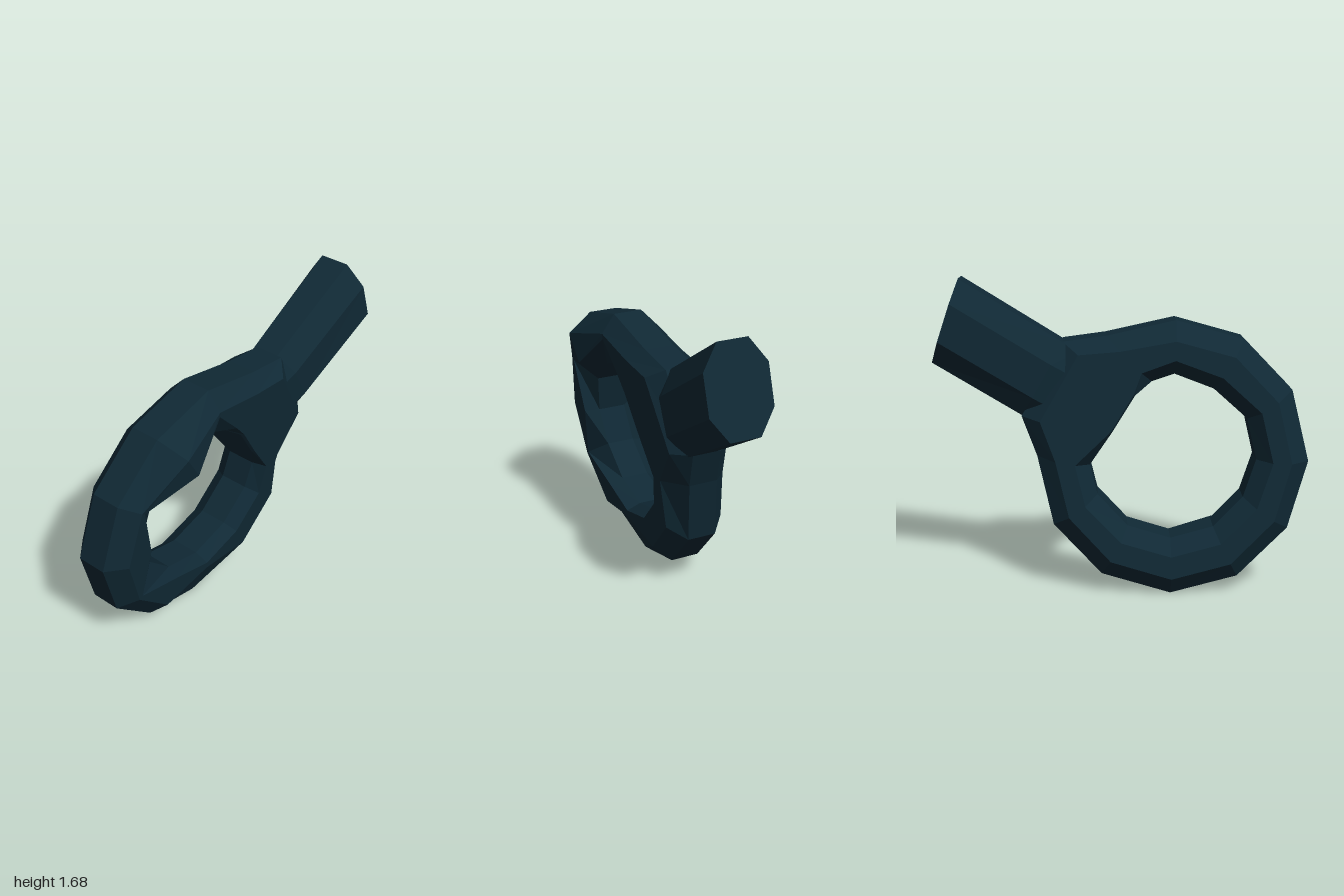
import * as THREE from 'three';

// The ring leans slightly forward with height
const lean = (y) => -0.107 + 0.113 * y;

// Faceted skin over a list of closed cross-sections
function skin(rings, { loop = false, cap = false }) {
  const pos = [];
  const tri = (...pts) => pts.forEach((p) => pos.push(...p));
  const n = rings[0].length;
  const spans = loop ? rings.length : rings.length - 1;
  for (let i = 0; i < spans; i++) {
    const r = rings[i], s = rings[(i + 1) % rings.length];
    for (let j = 0; j < n; j++) {
      const k = (j + 1) % n;
      tri(r[j], s[j], s[k]);
      tri(r[j], s[k], r[k]);
    }
  }
  if (cap) {
    const e = rings[rings.length - 1];
    for (let j = 1; j < n - 1; j++) tri(e[0], e[j + 1], e[j]);
  }
  const g = new THREE.BufferGeometry();
  g.setAttribute('position', new THREE.Float32BufferAttribute(pos, 3));
  g.computeVertexNormals();
  return g;
}

// Section through the ring: outer edge, bevels, faces and inner edge
function ringSection({ o, i, co = 0.1, ci = 0.03, zf = 0.165, cb = 0.08, w = 0.08 }) {
  const len = Math.hypot(i[0] - o[0], i[1] - o[1]);
  const at = (d, z) => {
    const t = d / len;
    const x = o[0] + (i[0] - o[0]) * t, y = o[1] + (i[1] - o[1]) * t;
    return [x, y, lean(y) + z];
  };
  return [
    at(0, 0.08), at(co, zf), at(len - ci, zf), at(len, w),
    at(len, -w), at(len - cb, -0.165), at(0.1, -0.165), at(0, -0.08),
  ];
}

// Octagonal handle section between a lower and an upper point
function handleSection(lo, hi, depth) {
  const octagon = [[-1, 0.48], [-0.45, 1], [0.45, 1], [1, 0.48],
    [1, -0.48], [0.45, -1], [-0.45, -1], [-1, -0.48]];
  const zc = lean((lo[1] + hi[1]) / 2);
  return octagon.map(([u, z]) => {
    const t = (u + 1) / 2;
    return [lo[0] + (hi[0] - lo[0]) * t, lo[1] + (hi[1] - lo[1]) * t, zc + z * depth];
  });
}

export function createModel() {
  const group = new THREE.Group();
  group.name = 'ringWithHandle';
  const darkTeal = new THREE.MeshStandardMaterial({ color: 0x102935, flatShading: true });
  darkTeal.name = 'darkTeal';

  // Stations run from the top, down the model's right side and up its left
  const web = { ci: 0.01, cb: 0.01, w: 0.15 };
  const stations = [
    { o: [-0.29, 1.46], i: [-0.28, 1.18], ci: 0.15 },
    { o: [-0.65, 1.36], i: [-0.49, 1.10], ci: 0.03, zf: 0.24 },
    { o: [-0.91, 1.09], i: [-0.67, 0.94], ci: 0.16 },
    { o: [-1.0, 0.71], i: [-0.72, 0.72], ci: 0.02 },
    { o: [-0.89, 0.35], i: [-0.65, 0.52], ci: 0.17 },
    { o: [-0.62, 0.09], i: [-0.49, 0.36], ci: 0.02 },
    { o: [-0.26, 0.0], i: [-0.26, 0.30], co: 0.23 },
    { o: [0.11, 0.11], i: [-0.03, 0.37] },
    { o: [0.365, 0.38], i: [0.13, 0.54] },
    { o: [0.45, 0.75], i: [0.17, 0.70], co: 0.18, ci: 0.02 },
    { o: [0.53, 0.96], i: [0.05, 0.89], ...web },
    { o: [0.31, 1.35], i: [-0.07, 1.08], ...web },
    { o: [0.08, 1.38], i: [-0.16, 1.14], ci: 0.04 },
  ];
  const ring = new THREE.Mesh(skin(stations.map(ringSection), { loop: true }), darkTeal);
  ring.name = 'ring';
  group.add(ring);

  // Handle rises from the web on the model's left
  const handle = new THREE.Mesh(skin([
    handleSection([0.43, 0.90], [0.22, 1.30], 0.14),
    handleSection([0.53, 0.96], [0.31, 1.35], 0.155),
    handleSection([1.0, 1.24], [0.85, 1.68], 0.17),
  ], { cap: true }), darkTeal);
  handle.name = 'handle';
  group.add(handle);

  return group;
}
